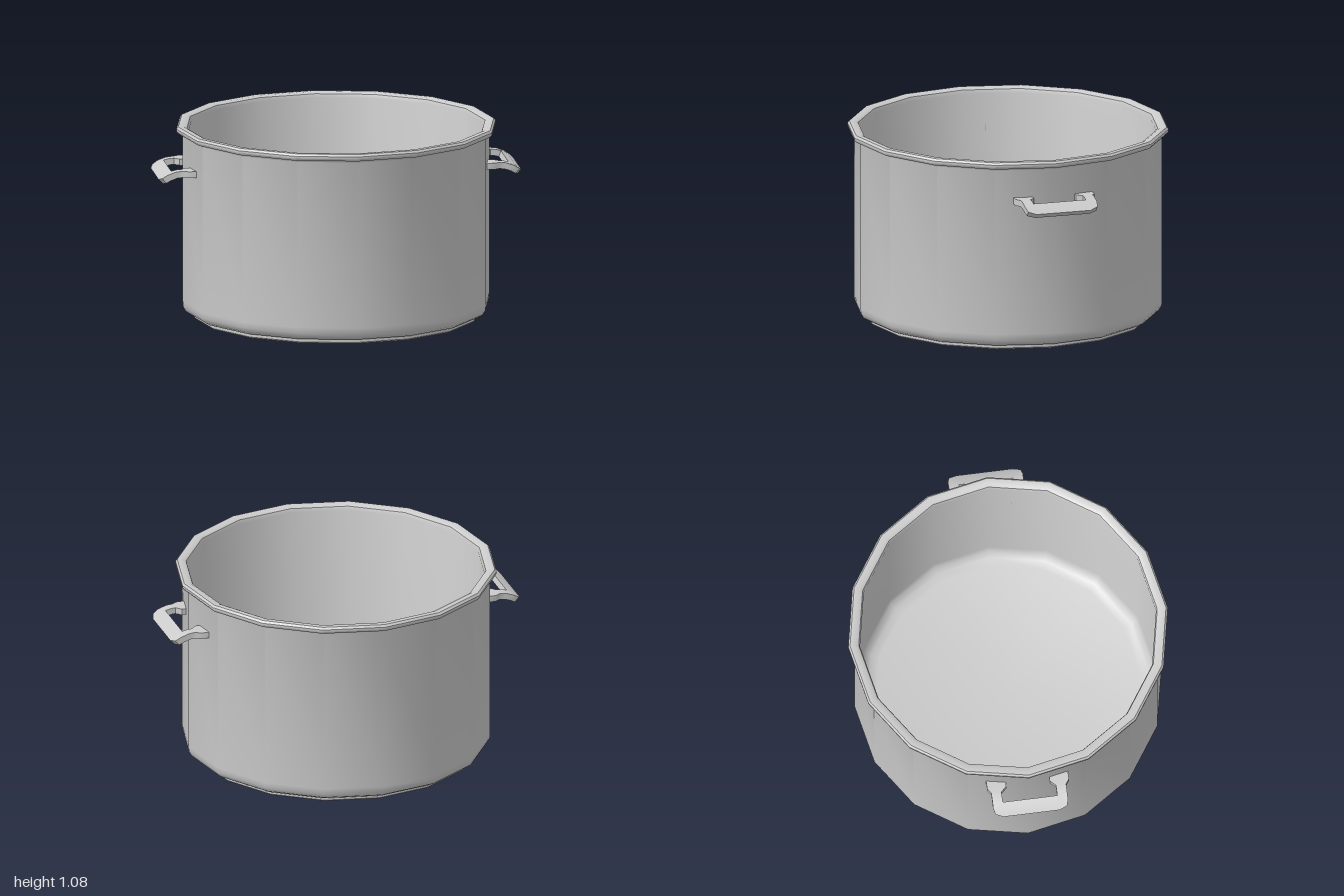
import * as THREE from 'three';
import { toCreasedNormals } from 'three/addons/utils/BufferGeometryUtils.js';

const SIDES = 16;

function lathe(name, points, material) {
  const profile = points.map(([r, y]) => new THREE.Vector2(r, y));
  const geometry = toCreasedNormals(new THREE.LatheGeometry(profile, SIDES), 0.65);
  const mesh = new THREE.Mesh(geometry, material);
  mesh.name = name;
  return mesh;
}

// Flat U-shaped strap that bends downward away from the wall
function handleGeometry() {
  // Half of the plan: inner x, inner z, outer x, outer z, from wall to middle
  const half = [
    [0.79, 0.12, 0.79, 0.225],
    [0.845, 0.12, 0.845, 0.225],
    [0.873, 0.15, 0.873, 0.206],
    [0.9, 0.15, 0.91, 0.206],
    [0.925, 0.15, 0.955, 0.206],
    [0.93, 0.15, 0.985, 0.198],
    [0.93, 0.14, 1.0, 0.155],
  ];
  const plan = [...half, ...half.map(([a, b, c, d]) => [a, -b, c, -d]).reverse()];

  // Bend along an arc centred below the strap
  const bend = (x, z, radius) => {
    const a = Math.asin(Math.max(0, x - 0.873) / 0.18);
    return x <= 0.873 ? [x, 0.69 + radius, z]
      : [0.873 + radius * Math.sin(a), 0.69 + radius * Math.cos(a), z];
  };
  const positions = [];
  for (const [ix, iz, ox, oz] of plan) {
    for (const [t, radius] of [[0, 0.18], [0.5, 0.18], [1, 0.18], [1, 0.145], [0.5, 0.145], [0, 0.145]]) {
      positions.push(...bend(ix + (ox - ix) * t, iz + (oz - iz) * t, radius));
    }
  }
  const index = [];
  const n = 6;
  for (let i = 0; i < plan.length - 1; i++) {
    for (let j = 0; j < n; j++) {
      const a = i * n + j, b = i * n + (j + 1) % n, c = a + n, d = b + n;
      index.push(a, b, c, b, d, c);
    }
  }
  // End caps inside the wall
  const e = (plan.length - 1) * n;
  for (let j = 1; j < n - 1; j++) {
    index.push(0, j + 1, j, e, e + j, e + j + 1);
  }
  const geometry = new THREE.BufferGeometry();
  geometry.setAttribute('position', new THREE.Float32BufferAttribute(positions, 3));
  geometry.setIndex(index);
  return toCreasedNormals(geometry, 0.6);
}

export function createModel() {
  const group = new THREE.Group();
  group.name = 'cookingPot';
  const metal = new THREE.MeshStandardMaterial({ color: 0xcccccc, side: THREE.DoubleSide });

  // Body: outside wall, rolled rim, inside wall and floor
  group.add(lathe('potBody', [
    [0.76, 0.025], [0.8, 0.028], [0.828, 0.045], [0.842, 0.07], [0.845, 0.1],
    [0.845, 1.025], [0.85, 1.033], [0.87, 1.037], [0.88, 1.05], [0.88, 1.063],
    [0.87, 1.075], [0.84, 1.075], [0.822, 1.066], [0.815, 1.045],
    [0.815, 0.13], [0.805, 0.095], [0.775, 0.067], [0.73, 0.055], [0, 0.055],
  ], metal));

  // Flat disc under the body
  group.add(lathe('basePlate', [[0, 0], [0.772, 0], [0.78, 0.008], [0.78, 0.03]], metal));

  // Pair of side handles
  const geometry = handleGeometry();
  for (const side of ['left', 'right']) {
    const handle = new THREE.Mesh(geometry, metal);
    handle.name = side + 'Handle';
    if (side === 'right') handle.rotation.y = Math.PI;
    group.add(handle);
  }
  return group;
}
